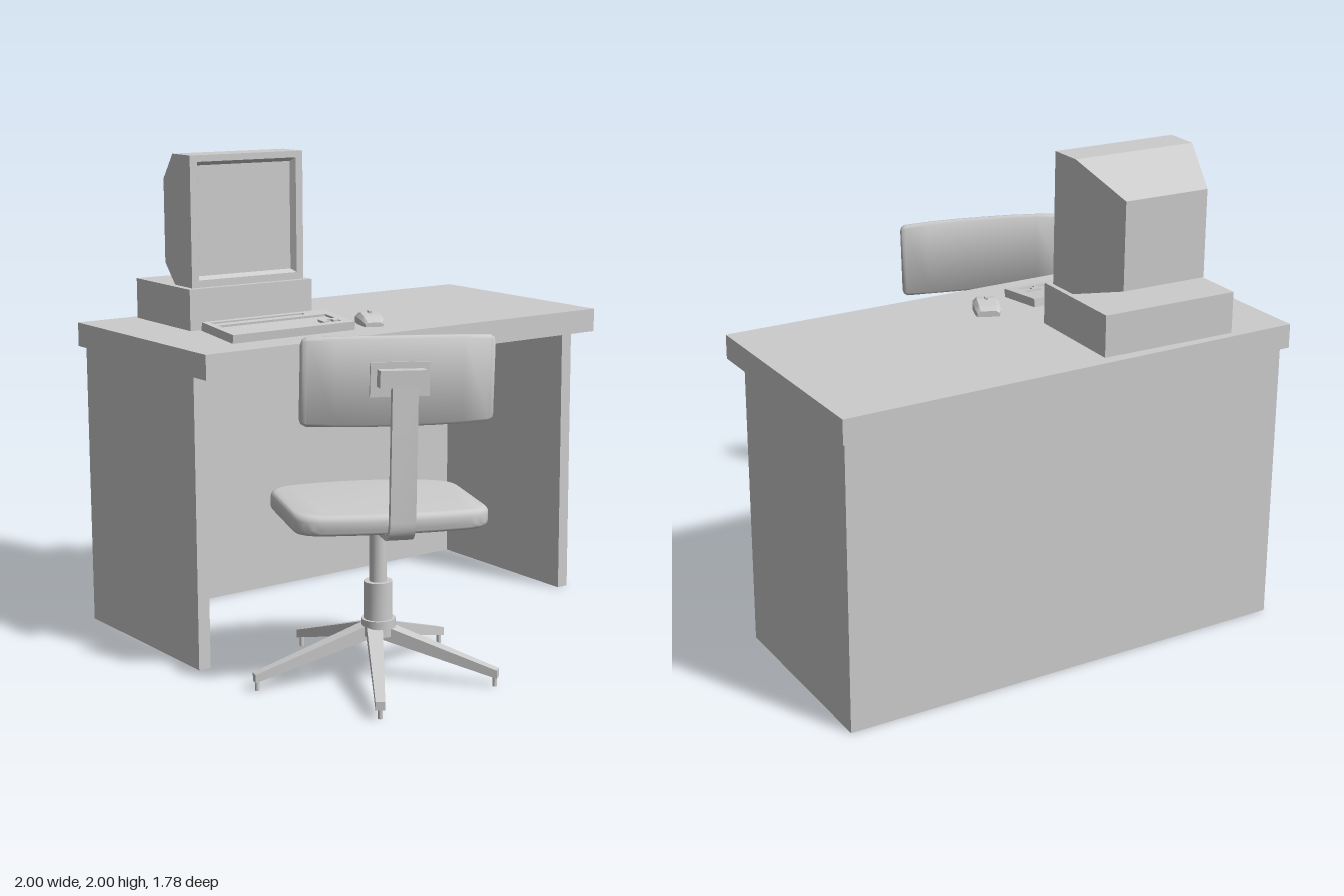
import * as THREE from 'three';
import { toCreasedNormals } from 'three/addons/utils/BufferGeometryUtils.js';

const V = (x, y, z) => new THREE.Vector3(x, y, z);

// Skin over a list of equal-length rings, capped at both ends.
// Each ring runs counter-clockwise as seen from the far end.
function loft(rings, crease = 0.1) {
  const n = rings[0].length, pos = [], idx = [];
  rings.forEach(r => r.forEach(p => pos.push(p.x, p.y, p.z)));
  for (let i = 0; i < rings.length - 1; i++) {
    for (let j = 0; j < n; j++) {
      const a = i * n + j, b = i * n + (j + 1) % n;
      idx.push(a, b, b + n, a, b + n, a + n);
    }
  }
  const last = (rings.length - 1) * n;
  for (let j = 1; j < n - 1; j++) {
    idx.push(0, j + 1, j, last, last + j, last + j + 1);
  }
  const g = new THREE.BufferGeometry();
  g.setAttribute('position', new THREE.Float32BufferAttribute(pos, 3));
  g.setIndex(idx);
  return toCreasedNormals(g, crease);
}

const rect = (w, y0, y1, z) =>
  [V(-w, y0, z), V(w, y0, z), V(w, y1, z), V(-w, y1, z)];

// Closed path from corner points
const path = pts => pts.map(([x, y]) => new THREE.Vector2(x, y));

export function createModel() {
  const model = new THREE.Group();
  const grey = new THREE.MeshStandardMaterial({ color: 0xcccccc });
  grey.name = 'light grey';

  const add = (parent, name, geo, x = 0, y = 0, z = 0) => {
    const m = new THREE.Mesh(geo, grey);
    m.name = name;
    m.position.set(x, y, z);
    parent.add(m);
    return m;
  };
  // Box given by its limits on each axis
  const box = (parent, name, x0, x1, y0, y1, z0, z1) =>
    add(parent, name, new THREE.BoxGeometry(x1 - x0, y1 - y0, z1 - z0),
      (x0 + x1) / 2, (y0 + y1) / 2, (z0 + z1) / 2);
  const cyl = (parent, name, r, y0, y1, z = 0) =>
    add(parent, name, toCreasedNormals(new THREE.CylinderGeometry(r, r, y1 - y0, 20), 0.6),
      0, (y0 + y1) / 2, z);
  const group = (parent, name, x, y, z, turn = 0) => {
    const g = new THREE.Group();
    g.name = name;
    g.position.set(x, y, z);
    g.rotation.y = turn;
    parent.add(g);
    return g;
  };

  // Desk
  const desk = group(model, 'desk', 0, 0, 0);
  box(desk, 'deskTop', -1, 1, 1.19, 1.29, -0.89, 0.125);
  box(desk, 'rightSidePanel', -0.98, -0.927, 0, 1.19, -0.86, 0);
  box(desk, 'leftSidePanel', 0.927, 0.98, 0, 1.19, -0.86, 0);
  box(desk, 'backPanel', -0.927, 0.927, 0, 1.19, -0.86, -0.81);

  // Computer case and monitor with a recessed screen
  const computer = group(model, 'computer', -0.445, 1.29, -0.625, -0.027);
  box(computer, 'case', -0.295, 0.295, 0, 0.17, -0.222, 0.23);
  add(computer, 'monitor', loft([
    rect(0.185, 0.235, 0.59, -0.175),
    rect(0.268, 0.17, 0.71, 0.055),
    rect(0.27, 0.17, 0.71, 0.2),
    rect(0.237, 0.2, 0.683, 0.2),
    rect(0.222, 0.214, 0.667, 0.175),
  ]), 0.004);

  // Keyboard, raised at the back, with sunken key areas
  const keyboard = group(model, 'keyboard', -0.485, 1.29, -0.03);
  keyboard.rotation.x = 0.1;
  box(keyboard, 'keyboardBody', -0.295, 0.295, 0, 0.026, -0.232, 0);
  const rim = new THREE.Shape(path([[-0.295, 0], [0.295, 0], [0.295, 0.232], [-0.295, 0.232]]));
  rim.holes = [
    [[-0.265, 0.188], [0.175, 0.188], [0.175, 0.21], [-0.265, 0.21]],
    [[-0.265, 0.034], [0.17, 0.034], [0.17, 0.088], [0.255, 0.088], [0.255, 0.157], [-0.265, 0.157]],
    [[0.18, 0.034], [0.25, 0.034], [0.25, 0.054], [0.226, 0.054], [0.226, 0.076],
      [0.204, 0.076], [0.204, 0.054], [0.18, 0.054]],
  ].map(pts => new THREE.Path(path(pts)));
  const rimGeo = new THREE.ExtrudeGeometry(rim, { depth: 0.009, bevelEnabled: false });
  rimGeo.rotateX(-Math.PI / 2);
  add(keyboard, 'keyboardFrame', rimGeo, 0, 0.026, 0);

  // Mouse
  const mouse = group(model, 'mouse', -0.042, 1.29, -0.125, -0.42);
  const mouseRing = ([z, w, h]) => [V(-w, 0, z), V(w, 0, z), V(w, h * 0.6, z),
    V(w * 0.7, h, z), V(-w * 0.7, h, z), V(-w, h * 0.6, z)];
  add(mouse, 'mouseBody', loft([[-0.095, 0.045, 0.024], [-0.065, 0.052, 0.038],
    [0.0, 0.055, 0.047], [0.05, 0.049, 0.038], [0.095, 0.037, 0.018]].map(mouseRing)));
  box(mouse, 'mouseWheel', -0.006, 0.006, 0.04, 0.055, -0.015, 0.012);

  // Chair base: hub, gas column and five legs
  const chair = group(model, 'chair', -0.45, 0, 0.48);
  cyl(chair, 'hub', 0.068, 0.175, 0.24);
  cyl(chair, 'lowerColumn', 0.056, 0.24, 0.39);
  cyl(chair, 'upperColumn', 0.034, 0.39, 0.61);
  const legGeo = loft([rect(0.032, 0.165, 0.225, 0.02), rect(0.018, 0.035, 0.068, 0.495)]);
  for (let i = 0; i < 5; i++) {
    const angle = THREE.MathUtils.degToRad(52 + 72 * i);
    const leg = group(chair, 'leg', -0.01, 0, -0.012, Math.PI / 2 - angle);
    add(leg, 'legBar', legGeo);
    cyl(leg, 'foot', 0.009, 0, 0.045, 0.483);
  }

  // Swivelling upper part, turned and leaning a little to one side
  const upper = group(chair, 'chairUpper', 0, 0.6, 0, -0.36);
  upper.rotation.z = -0.028;
  box(upper, 'seatBracket', -0.075, 0.09, 0, 0.045, -0.07, 0.07);

  // Seat cushion with a bowed front edge
  const b = 0.025;
  const outline = new THREE.Shape();
  outline.moveTo(0.365, -0.15);
  outline.lineTo(0.365, 0.18);
  outline.quadraticCurveTo(0.365, 0.255, 0.27, 0.28);
  outline.quadraticCurveTo(0, 0.35, -0.27, 0.28);
  outline.quadraticCurveTo(-0.36, 0.255, -0.36, 0.18);
  outline.lineTo(-0.36, -0.15);
  outline.quadraticCurveTo(-0.36, -0.215, -0.27, -0.225);
  outline.quadraticCurveTo(0, -0.26, 0.27, -0.225);
  outline.quadraticCurveTo(0.365, -0.215, 0.365, -0.15);
  const seat = new THREE.ExtrudeGeometry(outline, {
    depth: 0.03, bevelThickness: b, bevelSize: b, bevelSegments: 4, curveSegments: 8,
  });
  seat.rotateX(-Math.PI / 2);
  add(upper, 'seat', toCreasedNormals(seat, 0.7), 0, 0.038 + b, 0);

  // Bent support strip: runs under the seat and up behind it
  const strip = new THREE.Shape();
  strip.moveTo(0, 0.02);
  strip.lineTo(0.25, 0.02);
  strip.quadraticCurveTo(0.328, 0.02, 0.33, 0.1);
  strip.lineTo(0.312, 0.66);
  strip.lineTo(0.29, 0.66);
  strip.lineTo(0.308, 0.1);
  strip.quadraticCurveTo(0.306, 0.042, 0.25, 0.042);
  strip.lineTo(0, 0.042);
  const stripGeo = new THREE.ExtrudeGeometry(strip, { depth: 0.1, bevelEnabled: false });
  stripGeo.rotateY(-Math.PI / 2);
  add(upper, 'backSupport', toCreasedNormals(stripGeo, 0.6), 0.05);

  // Backrest: rounded panel curving forward at both ends
  const backRing = ([x, h, t]) => {
    const r = t * 0.6, z = 0.25 - 0.16 * x * x;
    return [[t, -h + r], [t - r, -h], [r - t, -h], [-t, -h + r],
      [-t, h - r], [r - t, h], [t - r, h], [t, h - r]]
      .map(([dz, dy]) => V(x - 0.005, 0.625 + dy, z + dz));
  };
  const half = [[0.376, 0.142, 0.009], [0.371, 0.156, 0.014], [0.355, 0.165, 0.018],
    [0.25, 0.168, 0.018], [0.13, 0.17, 0.018]];
  const stations = [...half.map(([x, h, t]) => [-x, h, t]), [0, 0.17, 0.018],
    ...half.slice().reverse()];
  add(upper, 'backrest', loft(stations.map(backRing), 0.8));
  box(upper, 'backrestPlate', -0.125, 0.105, 0.57, 0.7, 0.25, 0.275);
  box(upper, 'backrestClamp', -0.1, 0.08, 0.61, 0.675, 0.265, 0.32);

  return model;
}
